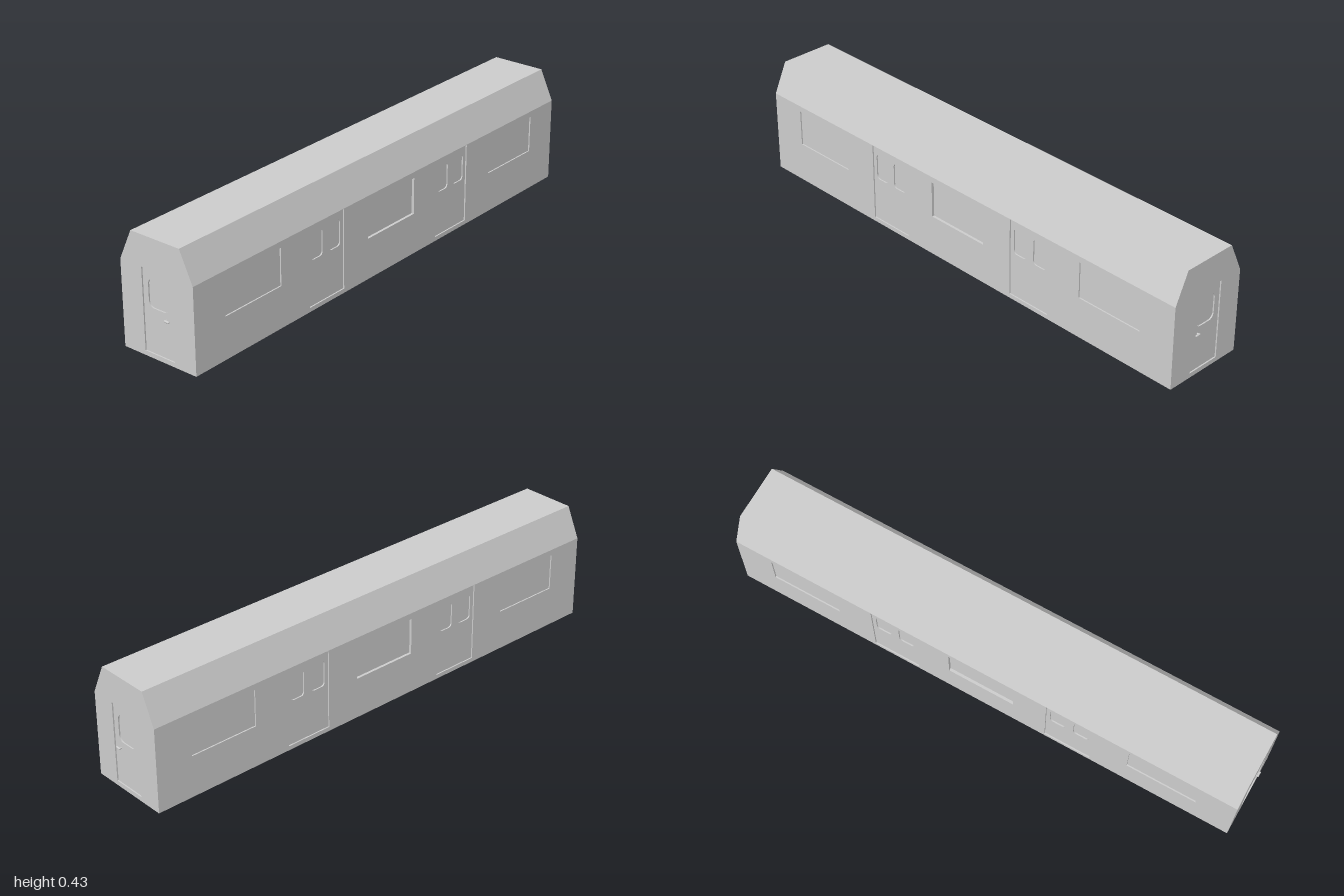
import * as THREE from 'three';

const material = new THREE.MeshStandardMaterial({ color: 0xcccccc, flatShading: true });

const HALF_LENGTH = 0.993, HALF_WIDTH = 0.158, EAVE = 0.318, ROOF = 0.433, ROOF_HALF = 0.105;
const SKIN = 0.01, INFILL = 0.005;
const WINDOW_Y = [0.156, 0.295], DOOR_Y = [0.016, 0.3165];

// Rectangle with optional rounded corners, as a shape or a hole
function rect(x0, x1, y0, y1, r = 0, Type = THREE.Path) {
  const p = new Type();
  if (!r) {
    return p.setFromPoints([[x0, y0], [x1, y0], [x1, y1], [x0, y1], [x0, y0]]
      .map(([x, y]) => new THREE.Vector2(x, y)));
  }
  p.absarc(x1 - r, y0 + r, r, -Math.PI / 2, 0);
  p.absarc(x1 - r, y1 - r, r, 0, Math.PI / 2);
  p.absarc(x0 + r, y1 - r, r, Math.PI / 2, Math.PI);
  p.absarc(x0 + r, y0 + r, r, Math.PI, Math.PI * 1.5);
  p.closePath();
  return p;
}

// Flat plate with cut-outs, its back on z = 0
function plate(name, shape, holes, depth) {
  shape.holes.push(...holes);
  const geometry = new THREE.ExtrudeGeometry(shape, { depth, bevelEnabled: false, curveSegments: 6 });
  const mesh = new THREE.Mesh(geometry, material);
  mesh.name = name;
  return mesh;
}

function profile(wall) {
  return new THREE.Shape([
    [-wall, 0], [wall, 0], [wall, EAVE], [HALF_WIDTH, EAVE], [ROOF_HALF, ROOF],
    [-ROOF_HALF, ROOF], [-HALF_WIDTH, EAVE], [-wall, EAVE],
  ].map(([x, y]) => new THREE.Vector2(x, y)));
}

// Long wall: two double-window doors between three wide windows
function sideWall(name) {
  const side = new THREE.Group();
  side.name = name;
  const L = HALF_LENGTH - SKIN;
  const doors = [-0.35, 0.35], outerWindows = [-0.7165, 0.7165];
  const holes = [
    ...doors.map(x => rect(x - 0.091, x + 0.091, ...DOOR_Y)),
    ...outerWindows.map(x => rect(x - 0.1345, x + 0.1345, ...WINDOW_Y)),
    rect(-0.129, 0.129, ...WINDOW_Y),
  ];
  side.add(plate('sidePanel', rect(-L, L, 0, EAVE, 0, THREE.Shape), holes, SKIN));
  for (const x of doors) {
    const panes = [-1, 1].map(s => {
      const c = x + s * 0.046;
      return rect(c - 0.03, c + 0.03, 0.185, 0.285, 0.014);
    });
    side.add(plate('sideDoor', rect(x - 0.091, x + 0.091, ...DOOR_Y, 0, THREE.Shape), panes, INFILL));
  }
  for (const x of outerWindows) {
    side.add(plate('outerWindow', rect(x - 0.1345, x + 0.1345, ...WINDOW_Y, 0, THREE.Shape), [], INFILL));
  }
  return side;
}

// End wall with a recessed door, rounded window and lever handle
function endWall(name, handleX) {
  const end = new THREE.Group();
  end.name = name;
  const door = [-0.065, 0.065, 0.017, 0.318];
  end.add(plate('endPanel', profile(HALF_WIDTH), [rect(...door)], SKIN));
  end.add(plate('endDoor', rect(...door, 0, THREE.Shape), [rect(-0.043, 0.043, 0.181, 0.284, 0.022)], INFILL));

  const lever = new THREE.Mesh(new THREE.CapsuleGeometry(0.004, 0.014, 4, 10), material);
  lever.name = 'doorHandle';
  lever.rotation.z = Math.PI / 2;
  lever.position.set(handleX, 0.157, 0.013);
  const post = new THREE.Mesh(new THREE.CylinderGeometry(0.003, 0.003, 0.009, 10), material);
  post.name = 'handlePost';
  post.rotation.x = Math.PI / 2;
  post.position.set(handleX - Math.sign(handleX) * 0.006, 0.157, 0.0085);
  end.add(lever, post);
  return end;
}

export function createModel() {
  const model = new THREE.Group();
  model.name = 'railCar';

  // Inner body with the sloped roof
  const L = HALF_LENGTH - SKIN;
  const body = plate('bodyAndRoof', profile(HALF_WIDTH - SKIN), [], 2 * L);
  body.rotation.y = Math.PI / 2;
  body.position.x = -L;
  model.add(body);

  for (const s of [1, -1]) {
    const side = sideWall(s > 0 ? 'frontWall' : 'backWall');
    side.rotation.y = s > 0 ? 0 : Math.PI;
    side.position.z = s * (HALF_WIDTH - SKIN);

    const end = endWall(s > 0 ? 'leftEnd' : 'rightEnd', -s * 0.04);
    end.rotation.y = s * Math.PI / 2;
    end.position.x = s * L;
    model.add(side, end);
  }
  return model;
}
